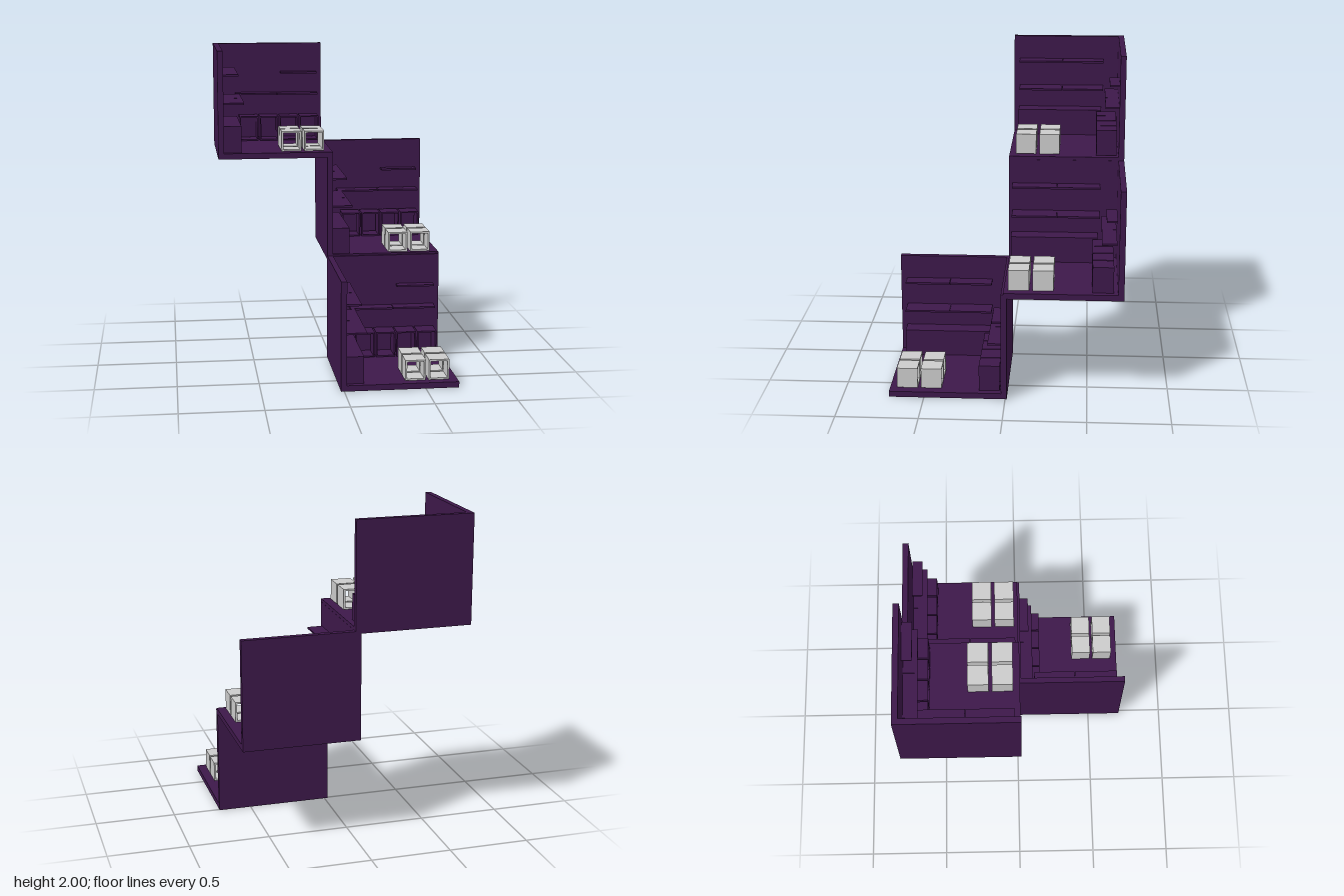
import * as THREE from 'three';

const purple = new THREE.MeshStandardMaterial({ color: 0x3d184a });
const grey = new THREE.MeshStandardMaterial({ color: 0xcccccc });

// Box given by its extents on each axis
function block(group, name, [x0, x1], [y0, y1], [z0, z1]) {
  const mesh = new THREE.Mesh(new THREE.BoxGeometry(x1 - x0, y1 - y0, z1 - z0), purple);
  mesh.position.set((x0 + x1) / 2, (y0 + y1) / 2, (z0 + z1) / 2);
  mesh.name = name;
  group.add(mesh);
}

// Hollow cube, open at front and back
function openCube(group, name, material, x, y, z, w, h, d, wall) {
  const rect = (path, m) => path.moveTo(m, m).lineTo(w - m, m).lineTo(w - m, h - m).lineTo(m, h - m).closePath();
  const shape = rect(new THREE.Shape(), 0);
  shape.holes.push(rect(new THREE.Path(), wall));
  const mesh = new THREE.Mesh(new THREE.ExtrudeGeometry(shape, { depth: d, bevelEnabled: false }), material);
  mesh.position.set(x, y, z);
  mesh.name = name;
  group.add(mesh);
}

// Corner shell: floor, left-hand wall and back wall
function makeShell() {
  const g = new THREE.Group();
  g.name = 'shell';
  const size = 0.725, height = 0.68, t = 0.036;
  block(g, 'floor', [0, size], [0, t], [0, size]);
  block(g, 'sideWall', [0, t], [t, height], [0, size]);
  block(g, 'backWall', [t, size], [t, height], [0, t]);
  return g;
}

function makeFurniture() {
  const g = new THREE.Group();
  g.name = 'furniture';

  // Side wall: bench and two shelves of two planks each
  block(g, 'bench', [0.03, 0.145], [0.036, 0.205], [0.14, 0.69]);
  for (const [z0, z1] of [[0.13, 0.4], [0.402, 0.685]]) {
    block(g, 'sideLowerShelf', [0.03, 0.165], [0.34, 0.351], [z0, z1]);
    block(g, 'sideUpperShelf', [0.03, 0.13], [0.518, 0.53], [z0, z1]);
  }

  // Back wall: long shelf of two planks and a short one above
  for (const [x0, x1] of [[0.14, 0.415], [0.417, 0.69]]) {
    block(g, 'backLowerShelf', [x0, x1], [0.34, 0.351], [0.03, 0.12]);
  }
  block(g, 'backUpperShelf', [0.445, 0.685], [0.479, 0.49], [0.03, 0.095]);

  // Row of open cubes along the back wall
  for (let i = 0; i < 4; i++) {
    openCube(g, 'backCube', purple, 0.163 + i * 0.134, 0.04, 0.045, 0.125, 0.162, 0.128, 0.009);
  }

  // Four pale cubes in the middle of the room
  for (const x of [0.4, 0.545]) {
    for (const z of [0.405, 0.553]) {
      openCube(g, 'paleCube', grey, x, 0.04, z, 0.126, 0.127, 0.127, 0.011);
    }
  }
  return g;
}

export function createModel() {
  const model = new THREE.Group();
  model.name = 'stackedRooms';
  // Shell corner, then furniture offset inside it
  const rooms = [
    ['lowerRoom', [-0.02, 0, -0.01], [0, 0, 0]],
    ['middleRoom', [-0.02, 0.655, -0.713], [0, -0.003, 0.018]],
    ['upperRoom', [-0.71, 1.32, -0.713], [0.003, 0, 0.003]],
  ];
  for (const [name, corner, offset] of rooms) {
    const room = new THREE.Group();
    room.name = name;
    room.position.set(...corner);
    const furniture = makeFurniture();
    furniture.position.set(...offset);
    room.add(makeShell(), furniture);
    model.add(room);
  }
  return model;
}
